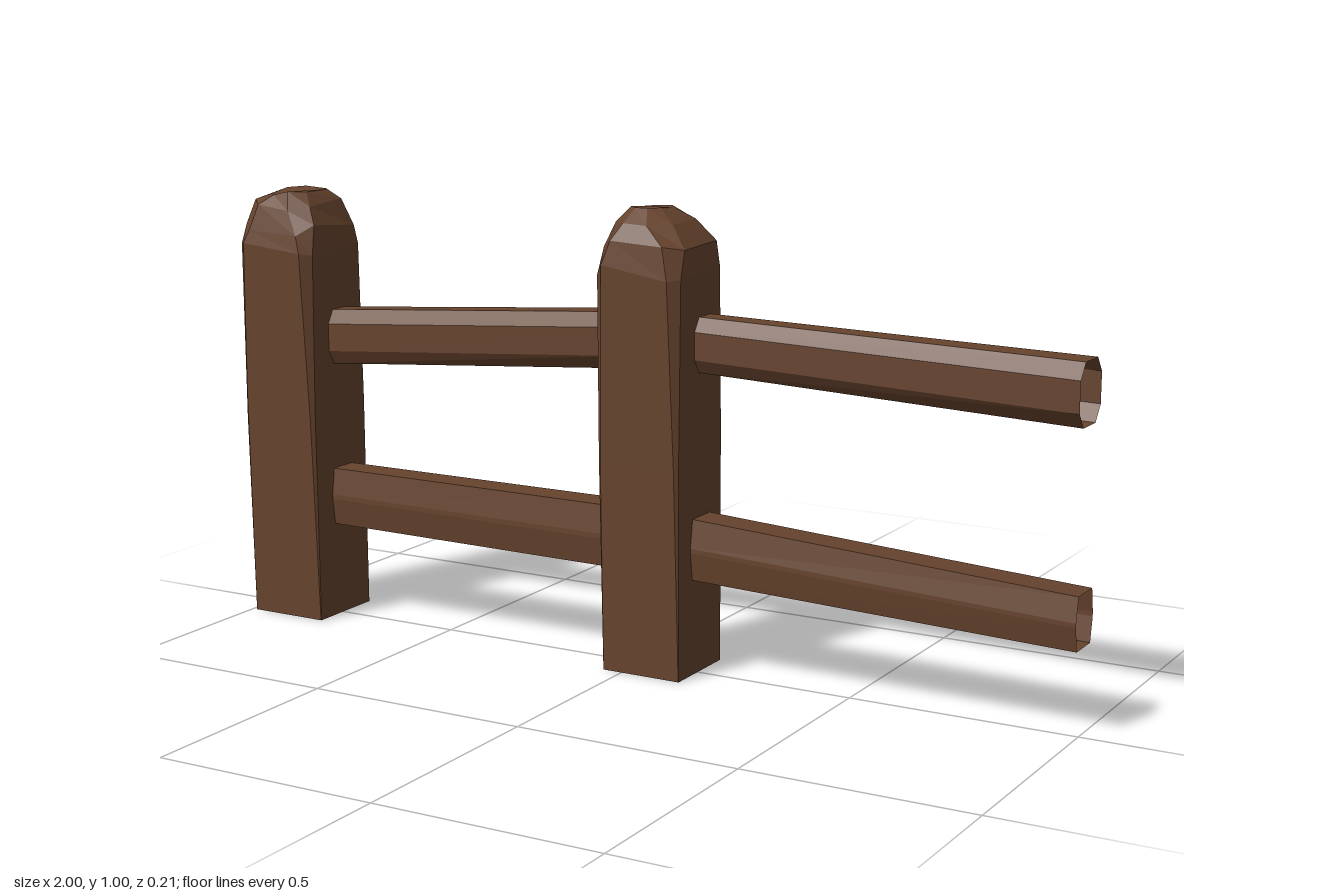
import * as THREE from 'three';

const wood = new THREE.MeshStandardMaterial({ color: 0x66432d, side: THREE.DoubleSide, flatShading: true });
wood.name = 'brown wood';

// Skin a list of equal-sized rings of points, optionally closing both ends.
function loft(rings, capped) {
  const pos = [];
  const tri = (...pts) => pts.forEach((p) => pos.push(...p));
  const n = rings[0].length;
  for (let r = 0; r < rings.length - 1; r++) {
    for (let i = 0; i < n; i++) {
      const j = (i + 1) % n, lo = rings[r], hi = rings[r + 1];
      tri(lo[i], hi[i], hi[j]);
      tri(lo[i], hi[j], lo[j]);
    }
  }
  if (capped) {
    const first = rings[0], last = rings[rings.length - 1];
    for (let i = 1; i < n - 1; i++) {
      tri(first[0], first[i], first[i + 1]);
      tri(last[0], last[i + 1], last[i]);
    }
  }
  const g = new THREE.BufferGeometry();
  g.setAttribute('position', new THREE.Float32BufferAttribute(pos, 3));
  g.computeVertexNormals();
  return g;
}

// Post: chamfered square sections [y, x0, x1, z0, z1, chamfer, roughness]
function post(name, cx, sections, seed) {
  let s = seed;
  const rand = () => ((s = (s * 16807) % 2147483647) / 2147483647) - 0.5;
  const rings = sections.map(([y, x0, x1, z0, z1, b, rough]) => {
    const c = b * 0.4; // the back right corner stays sharper
    return [
      [x1, z0 + c], [x1, z1 - b], [x1 - b, z1], [x0 + b, z1],
      [x0, z1 - b], [x0, z0 + b], [x0 + b, z0], [x1 - c, z0],
    ].map(([x, z]) => [cx + x, y + rand() * rough, z]);
  });
  const mesh = new THREE.Mesh(loft(rings, true), wood);
  mesh.name = name;
  return mesh;
}

// Rail: open tube with bevelled corners; each end is [x, y0, y1, z0, z1]
function rail(name, ends, bevelY, bevelZ) {
  const rings = ends.map(([x, y0, y1, z0, z1]) => {
    const by = (y1 - y0) * bevelY, bz = (z1 - z0) * bevelZ;
    return [
      [z1, y0 + by], [z1, y1 - by], [z1 - bz, y1], [z0 + bz, y1],
      [z0, y1 - by], [z0, y0 + by], [z0 + bz, y0], [z1 - bz, y0],
    ].map(([z, y]) => [x, y, z]);
  });
  const mesh = new THREE.Mesh(loft(rings, false), wood);
  mesh.name = name;
  return mesh;
}

export function createModel() {
  const fence = new THREE.Group();
  fence.name = 'fence';

  // Posts with worn, rounded tops
  fence.add(post('endPost', -0.897, [
    [0, -0.093, 0.095, -0.103, 0.085, 0.001, 0],
    [0.5, -0.098, 0.096, -0.102, 0.096, 0.008, 0.1],
    [0.86, -0.103, 0.096, -0.099, 0.104, 0.022, 0.03],
    [0.905, -0.098, 0.092, -0.093, 0.098, 0.03, 0.03],
    [0.952, -0.085, 0.068, -0.082, 0.085, 0.035, 0.02],
    [0.978, -0.055, 0.045, -0.06, 0.06, 0.03, 0.014],
  ], 11));
  fence.add(post('middlePost', 0.0475, [
    [0, -0.093, 0.093, -0.103, 0.085, 0.001, 0],
    [0.5, -0.1, 0.093, -0.102, 0.096, 0.008, 0.1],
    [0.87, -0.107, 0.093, -0.099, 0.103, 0.022, 0.03],
    [0.925, -0.102, 0.091, -0.092, 0.096, 0.035, 0.02],
    [0.97, -0.086, 0.05, -0.076, 0.078, 0.04, 0.015],
    [0.997, -0.06, 0.012, -0.045, 0.04, 0.022, 0.006],
  ], 29));

  // Rails, left span then right span
  fence.add(rail('upperRailLeft', [
    [-0.82, 0.59, 0.715, -0.053, 0.03], [-0.03, 0.65, 0.772, -0.077, 0.03],
  ], 0.25, 0.22));
  fence.add(rail('lowerRailLeft', [
    [-0.82, 0.217, 0.348, -0.055, 0.03], [-0.03, 0.211, 0.348, -0.06, 0.03],
  ], 0.46, 0.1));
  fence.add(rail('upperRailRight', [
    [0.12, 0.656, 0.774, -0.07, 0.02], [1, 0.632, 0.762, -0.056, 0.062],
  ], 0.25, 0.22));
  fence.add(rail('lowerRailRight', [
    [0.12, 0.211, 0.345, -0.06, 0.035], [1, 0.182, 0.295, -0.058, 0.037],
  ], 0.46, 0.1));

  return fence;
}
